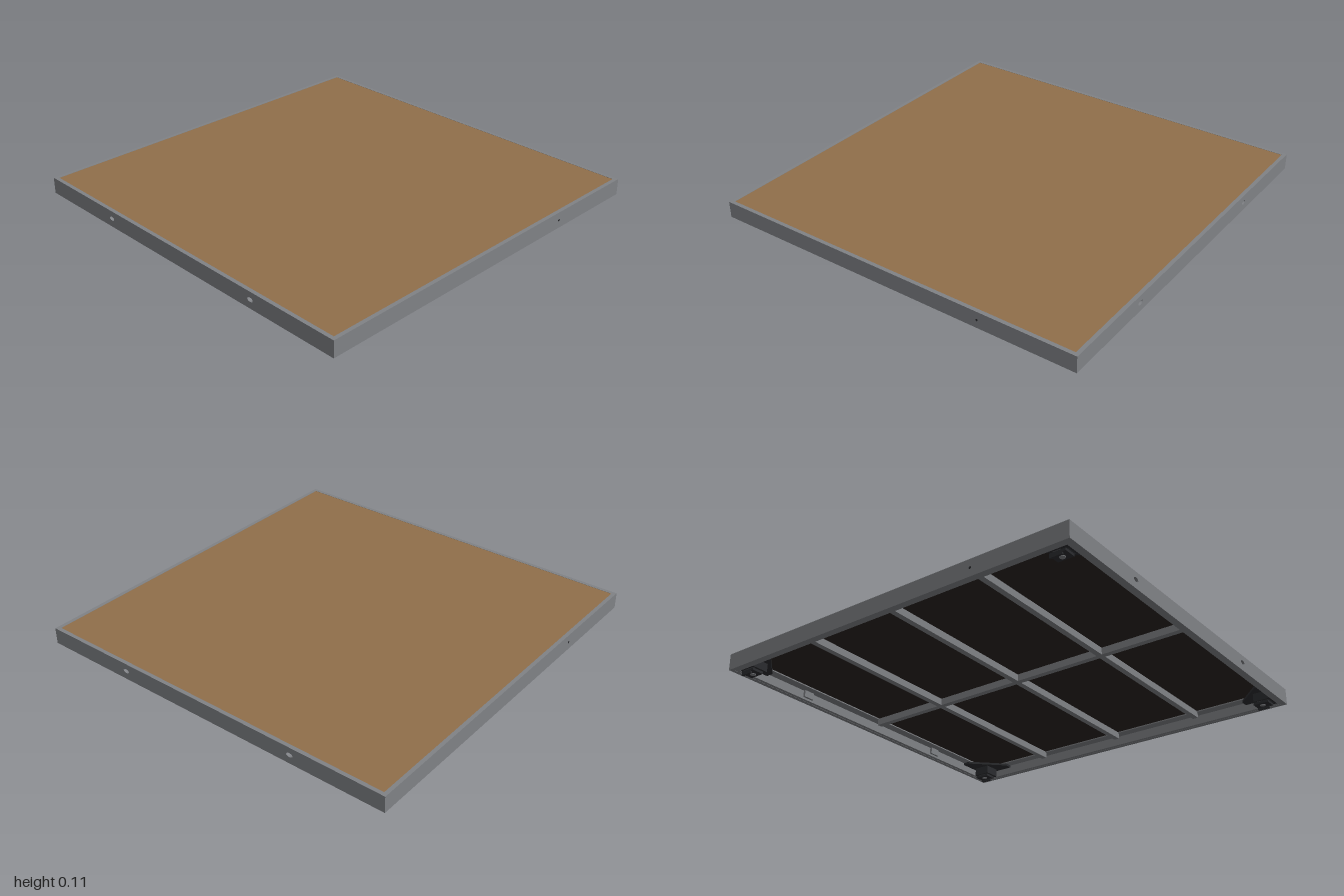
import * as THREE from 'three';

const mat = (name, color, side = THREE.FrontSide) => {
  const m = new THREE.MeshStandardMaterial({ color, side });
  m.name = name;
  return m;
};

export function createModel() {
  const aluminium = mat('aluminium grey', 0x808286);
  const wood = mat('wood brown', 0x906f4a);
  const underside = mat('dark board', 0x2a2320);
  const black = mat('black fittings', 0x2b2c2f);

  const deck = new THREE.Group();
  deck.name = 'stageDeck';
  const add = (parent, name, geo, material, x = 0, y = 0, z = 0) => {
    const mesh = new THREE.Mesh(geo, material);
    mesh.name = name;
    mesh.position.set(x, y, z);
    parent.add(mesh);
    return mesh;
  };
  const box = (parent, name, material, w, h, d, x, y, z) =>
    add(parent, name, new THREE.BoxGeometry(w, h, d), material, x, y, z);

  const BOTTOM = 0.02, TOP = 0.105, H = TOP - BOTTOM, MID = (TOP + BOTTOM) / 2, T = 0.02;

  // Board with a dark lower layer
  box(deck, 'deckBoard', wood, 1.96, 0.012, 1.96, 0, 0.098, 0);
  box(deck, 'boardUnderside', underside, 1.96, 0.008, 1.96, 0, 0.088, 0);

  // Front and back rails with two coupling slots each
  const railShape = new THREE.Shape();
  railShape.moveTo(-1, 0).lineTo(1, 0).lineTo(1, H).lineTo(-1, H).closePath();
  for (const x of [-0.5, 0.5]) {
    const slot = new THREE.Path();
    slot.absellipse(x, 0.045, 0.018, 0.011, 0, Math.PI * 2, true);
    railShape.holes.push(slot);
  }
  const railGeo = new THREE.ExtrudeGeometry(railShape, { depth: T, bevelEnabled: false, curveSegments: 8 });
  for (const s of [-1, 1]) {
    const end = s > 0 ? 'front' : 'back';
    add(deck, end + 'Rail', railGeo, aluminium, 0, BOTTOM, s > 0 ? 1 - T : -1);
    for (const x of [-0.5, 0.5])
      box(deck, end + 'CouplingPocket', aluminium, 0.06, 0.045, 0.012, x, BOTTOM + 0.045, s * 0.974);

    // Side rails and their small bolts
    const side = s > 0 ? 'left' : 'right';
    box(deck, side + 'Rail', aluminium, T, H, 2 - 2 * T, s * (1 - T / 2), MID, 0);
    const bolt = add(deck, side + 'Bolt', new THREE.CylinderGeometry(0.006, 0.006, 0.002, 12), black, s * 1.0, MID, -s * 0.5);
    bolt.rotation.z = Math.PI / 2;

    // Inner ledges below the board and return lips at the bottom
    box(deck, side + 'Ledge', aluminium, 0.05, 0.006, 1.96, s * 0.955, 0.081, 0);
    box(deck, end + 'Ledge', aluminium, 1.86, 0.006, 0.05, 0, 0.081, s * 0.955);
    box(deck, side + 'Lip', aluminium, 0.018, 0.01, 1.96, s * 0.971, 0.026, 0);
    box(deck, end + 'Lip', aluminium, 1.924, 0.01, 0.018, 0, 0.026, s * 0.971);
  }

  // Cross bars under the board
  for (const z of [-0.5, 0, 0.5])
    box(deck, 'crossBar', aluminium, 1.88, 0.036, 0.03, 0, 0.066, z);
  for (const z of [-0.7, -0.25, 0.25, 0.7]) {
    const length = Math.abs(z) > 0.5 ? 0.425 : 0.47;
    box(deck, 'centreBar', aluminium, 0.03, 0.036, length, 0, 0.066, Math.sign(z) * (Math.abs(z) > 0.5 ? 0.7275 : 0.25));
  }

  // Corner leg sockets: gusset, square collar, clamp plate and clamp lever
  const gusset = new THREE.Shape();
  gusset.moveTo(0.98, 0.98).lineTo(0.78, 0.98).lineTo(0.78, 0.94).lineTo(0.94, 0.78).lineTo(0.98, 0.78).closePath();
  const gussetGeo = new THREE.ExtrudeGeometry(gusset, { depth: 0.012, bevelEnabled: false });
  gussetGeo.rotateX(Math.PI / 2);
  for (let i = 0; i < 4; i++) {
    const sx = i === 0 || i === 1 ? 1 : -1;
    const sz = i === 0 || i === 3 ? 1 : -1;
    const corner = new THREE.Group();
    corner.name = (sz > 0 ? 'front' : 'back') + (sx > 0 ? 'Left' : 'Right') + 'LegSocket';
    deck.add(corner);
    const plate = add(corner, 'gusset', gussetGeo, black, 0, 0.078, 0);
    plate.rotation.y = i * Math.PI / 2;

    // Square collar open underneath
    const cx = sx * 0.917, cz = sz * 0.917;
    for (const s of [-1, 1]) {
      box(corner, 'collarSide', black, 0.01, 0.044, 0.09, cx + s * 0.04, 0.044, cz);
      box(corner, 'collarEnd', black, 0.07, 0.044, 0.01, cx, 0.044, cz + s * 0.04);
    }
    // Clamp below the frame
    const pz = sz > 0 ? 0.905 : -0.925;
    box(corner, 'clampPlate', black, 0.062, 0.012, 0.08, sx * 0.917, 0.016, pz);
    box(corner, 'clampLever', black, 0.01, 0.011, 0.062, sx * 0.943, 0.0055, pz - 0.009);
    add(corner, 'clampScrew', new THREE.CylinderGeometry(0.014, 0.014, 0.004, 16), aluminium, sx * 0.912, 0.009, pz);
  }
  return deck;
}
